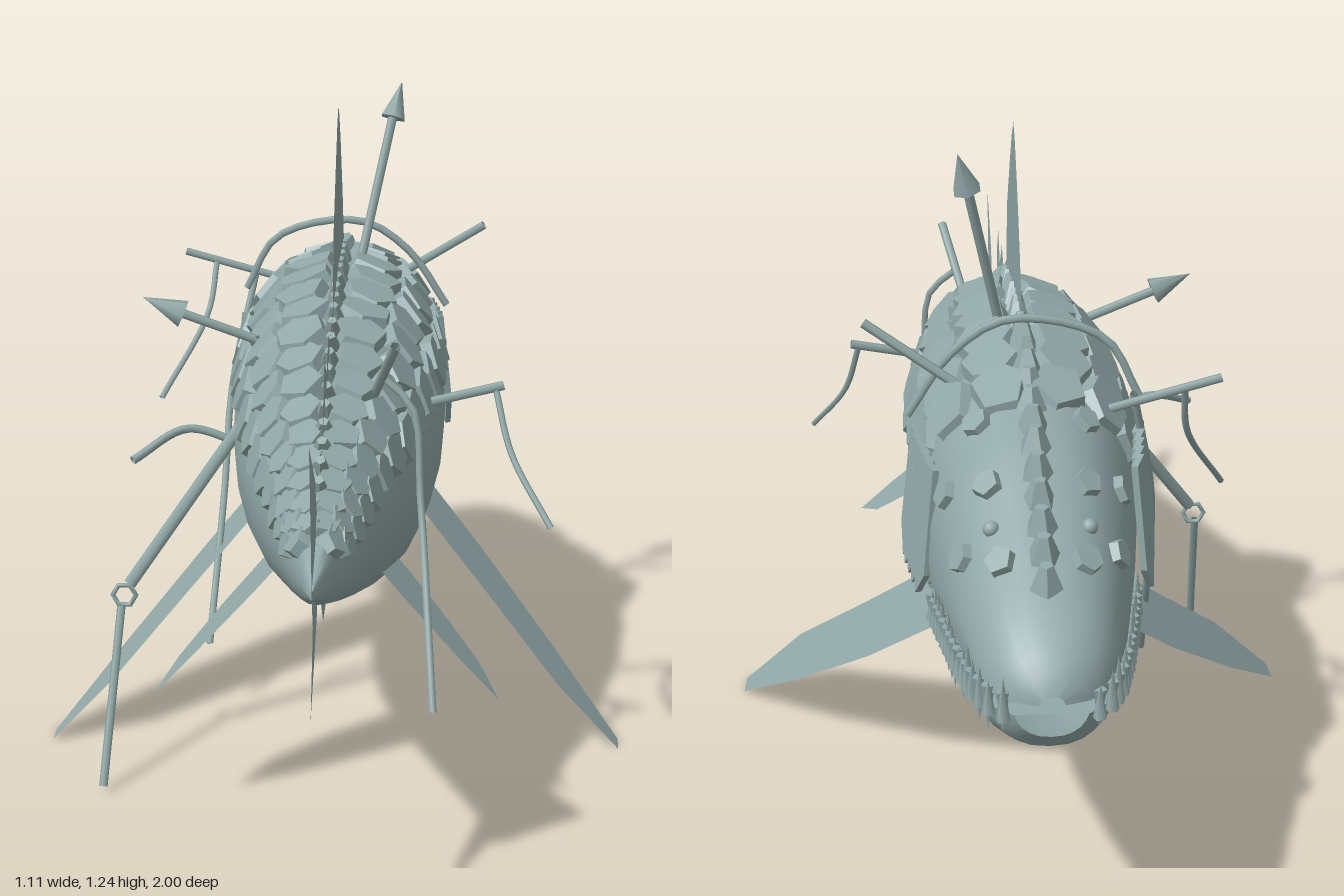
import * as THREE from 'three';
import { toCreasedNormals } from 'three/addons/utils/BufferGeometryUtils.js';

// Body stations: z, top y, bottom y, half width
const STATIONS = [
  [-1, 0.545, 0.515, 0.02], [-0.985, 0.58, 0.47, 0.06], [-0.95, 0.61, 0.435, 0.092], [-0.9, 0.645, 0.415, 0.115],
  [-0.8, 0.7, 0.385, 0.138], [-0.6, 0.805, 0.34, 0.172], [-0.4, 0.87, 0.31, 0.198], [-0.2, 0.895, 0.297, 0.21],
  [0, 0.885, 0.305, 0.206], [0.2, 0.855, 0.335, 0.185], [0.4, 0.795, 0.39, 0.145], [0.6, 0.725, 0.455, 0.092],
  [0.8, 0.655, 0.525, 0.042], [0.94, 0.6, 0.585, 0.004],
];
const V = (x, y, z) => new THREE.Vector3(x, y, z);

function station(z) {
  let i = 0;
  while (i < STATIONS.length - 2 && z > STATIONS[i + 1][0]) i++;
  const a = STATIONS[i], b = STATIONS[i + 1];
  const t = THREE.MathUtils.clamp((z - a[0]) / (b[0] - a[0]), 0, 1);
  return a.map((v, k) => v + (b[k] - v) * t);
}

// Point on the hide; angle 0 is the back, growing towards +x
function hide(z, angle) {
  const [, top, bottom, w] = station(z);
  const s = Math.sin(angle);
  return V(Math.sign(s) * Math.abs(s) ** 0.84 * w, (top + bottom) / 2 + Math.cos(angle) * (top - bottom) / 2, z);
}

// Frame lying on the hide: Y outwards, Z along the body
function hideFrame(z, angle) {
  const along = hide(z + 0.02, angle).sub(hide(z - 0.02, angle)).normalize();
  const around = hide(z, angle + 0.05).sub(hide(z, angle - 0.05)).normalize();
  const out = along.clone().cross(around).normalize();
  return new THREE.Matrix4().makeBasis(out.clone().cross(along), out, along).setPosition(hide(z, angle));
}

// Skin over rings along z, with a rule that adjusts each point
function loft(zs, rule) {
  const sides = 24, pos = [], idx = [];
  zs.forEach((z, i) => {
    for (let j = 0; j <= sides; j++) pos.push(...rule(hide(z, (j / sides) * Math.PI * 2)).toArray());
    if (i === 0) return;
    for (let j = 0; j < sides; j++) {
      const a = (i - 1) * (sides + 1) + j, b = a + sides + 1;
      idx.push(a, b, a + 1, b, b + 1, a + 1);
    }
  });
  const g = new THREE.BufferGeometry();
  g.setAttribute('position', new THREE.Float32BufferAttribute(pos, 3));
  g.setIndex(idx);
  return toCreasedNormals(g, 0.75);
}

export function createModel() {
  const root = new THREE.Group();
  const skin = new THREE.MeshStandardMaterial({ color: 0x92a8a8 });
  skin.name = 'grey green';
  skin.side = THREE.DoubleSide;
  let seed = 7;
  const rnd = () => (seed = (seed * 16807) % 2147483647) / 2147483647;
  const add = (name, geo, parent = root) => {
    const m = new THREE.Mesh(geo, skin);
    m.name = name;
    parent.add(m);
    return m;
  };
  const group = (name) => {
    const g = new THREE.Group();
    g.name = name;
    root.add(g);
    return g;
  };
  const range = (a, b, n) => Array.from({ length: n + 1 }, (_, i) => a + ((b - a) * i) / n);

  // Body with an open mouth, and the lower jaw
  const noseZs = [-1, -0.985, -0.965, -0.95, -0.925];
  const bodyZs = [...noseZs, ...range(-0.9, -0.52, 8), ...range(-0.5, 0.94, 30)];
  add('body', loft(bodyZs, (p) => (p.z < -0.51 ? p.setY(Math.max(p.y, 0.53)) : p)));
  add('lowerJaw', loft([-0.985, ...noseZs.slice(2), ...range(-0.9, -0.46, 9)],
    (p) => p.set(p.x * 1.012, Math.min(p.y - 0.002, 0.508), p.z)));

  // Flat fins: outline in (z, y), x from a rule on y
  const fin = (name, pts, xOf) => {
    const g = new THREE.ShapeGeometry(new THREE.Shape(pts.map(([z, y]) => new THREE.Vector2(z, y))));
    const p = g.attributes.position;
    for (let i = 0; i < p.count; i++) p.setXYZ(i, xOf(p.getY(i)), p.getY(i), p.getX(i));
    g.computeVertexNormals();
    add(name, g);
  };
  const mid = () => 0;
  fin('dorsalFin', [[0.25, 0.8], [0.235, 0.88], [0.2, 1.02], [0.11, 1.125], [0.05, 1.19], [0, 1.225], [-0.04, 1.205],
    [-0.1, 1.145], [-0.19, 1.03], [-0.25, 0.93], [-0.27, 0.85]], mid);
  fin('rearRidge', [[0.66, 0.68], [0.6, 0.75], [0.57, 0.83], [0.53, 0.875], [0.47, 0.82], [0.395, 0.878], [0.33, 0.85],
    [0.25, 0.885], [0.2, 0.8]], mid);
  fin('tailFin', [[1, 0.85], [0.84, 0.75], [0.76, 0.64], [0.77, 0.54], [0.79, 0.51], [0.985, 0.4], [0.915, 0.53],
    [0.945, 0.59], [0.96, 0.68]], mid);
  fin('analFin', [[0.42, 0.44], [0.52, 0.42], [0.6, 0.42], [0.68, 0.49], [0.5, 0.5]], mid);
  for (const s of [1, -1]) {
    const splay = (y) => s * (0.12 + (0.43 - y) * 1.012);
    fin('pectoralFin', [[-0.42, 0.42], [-0.395, 0.385], [-0.26, 0.26], [-0.07, 0.12], [0.12, 0], [0.175, 0.003],
      [0.14, 0.12], [0, 0.25], [-0.14, 0.39], [-0.18, 0.43]], splay);
    fin('pelvicFin', [[0.28, 0.46], [0.285, 0.42], [0.34, 0.35], [0.42, 0.28], [0.515, 0.245], [0.5, 0.31],
      [0.455, 0.42], [0.43, 0.46]], splay);
  }

  // Overlapping armour plates over the back
  const armour = group('armourPlates');
  const plate = (z, angle, r, long) => {
    const g = new THREE.CylinderGeometry(r * 0.86, r, 0.028, 5 + Math.floor(rnd() * 2));
    g.rotateY(rnd() * 6).scale(0.95, 1, long).rotateX(-0.09 + rnd() * 0.05);
    add('plate', toCreasedNormals(g, 0.4), armour).applyMatrix4(hideFrame(z, angle));
  };
  for (const s of [1, -1]) {
    [0.24, 0.66, 1.06].forEach((angle, row) => {
      let z = -0.44 + row * 0.035;
      while (z < 0.82) {
        const r = 0.022 + 0.2 * station(z)[3];
        plate(z, s * (angle + (rnd() - 0.5) * 0.08), r, 1.05 + rnd() * 0.2);
        z += r * 1.55;
      }
    });
    // Small loose plates on the cheek and brow
    for (let i = 0; i < 5; i++) plate(-0.5 - i * 0.075, s * (0.45 + (i % 2) * 0.5), 0.03, 1);
  }

  // Knobbly ridge along the head and spine
  const ridge = group('spineRidge');
  for (let z = -0.85; z < 0.75; z += 0.052) {
    const k = z < -0.25 ? 1 : 0.75;
    const g = new THREE.CylinderGeometry(0.012 * k, 0.03 * k, 0.045, 5);
    g.rotateY(rnd() * 6).rotateX(0.35).translate(0, 0.012, 0);
    add('knob', toCreasedNormals(g, 0.4), ridge).applyMatrix4(hideFrame(z, 0));
  }

  // Eyes, gill flaps and teeth
  const gillShape = new THREE.Shape([[-0.02, 0.11], [0.022, 0.12], [0.03, -0.06], [0.012, -0.12], [-0.018, -0.08]]
    .map(([x, y]) => new THREE.Vector2(x, y)));
  const teeth = group('teeth');
  for (const s of [1, -1]) {
    add('eye', new THREE.SphereGeometry(0.014, 12, 8)).position.copy(hide(-0.73, s * 0.5));
    for (let i = 0; i < 5; i++) {
      const z = -0.355 - i * 0.042;
      const g = new THREE.ExtrudeGeometry(gillShape, { depth: 0.012, bevelEnabled: false }).rotateY(-Math.PI / 2);
      const gill = add('gillFlap', g);
      gill.position.set(s * (station(z)[3] + 0.006), 0.63, z);
      gill.rotation.set(0.05, s * 0.4, s * 0.1);
    }
    for (let i = 0; i < 15; i++) {
      const z = -0.6 - i * 0.0265, w = station(z)[3];
      for (const up of [1, -1]) {
        const h = 0.05 + rnd() * 0.035;
        const g = new THREE.ConeGeometry(0.012, h, 5);
        if (up < 0) g.rotateX(Math.PI);
        const zz = z - (up > 0 ? 0.012 : 0);
        add('tooth', g, teeth).position.set(s * (w + 0.003), 0.52 + up * (h / 2 - 0.022), Math.max(zz, -0.985));
      }
    }
  }

  // Harpoon rods, heads and ropes stuck in the hide
  const gear = group('harpoons');
  const tube = (name, pts, r) => add(name, new THREE.TubeGeometry(
    new THREE.CatmullRomCurve3(pts.map((p) => V(...p))), pts.length > 2 ? 16 : 1, r, 6), gear);
  const head = (at, tip) => {
    const a = V(...at), d = V(...tip).sub(a);
    const m = add('harpoonHead', new THREE.ConeGeometry(0.027, d.length(), 6), gear);
    m.position.copy(a).addScaledVector(d, 0.5);
    m.quaternion.setFromUnitVectors(V(0, 1, 0), d.normalize());
  };
  tube('harpoonRod', [[0.03, 0.86, -0.18], [0.1, 1.18, -0.275]], 0.009);
  head([0.098, 1.165, -0.272], [0.115, 1.235, -0.295]);
  tube('harpoonRod', [[0.1, 0.82, -0.36], [0.285, 0.94, -0.32]], 0.009);
  tube('harpoonRod', [[-0.12, 0.79, 0.12], [-0.3, 0.858, 0.135]], 0.009);
  head([-0.285, 0.852, 0.135], [-0.36, 0.885, 0.14]);
  tube('harpoonRod', [[-0.12, 0.8, -0.42], [-0.34, 0.86, -0.42]], 0.008);
  tube('rope', [[-0.275, 0.84, -0.42], [-0.29, 0.74, -0.36], [-0.375, 0.59, -0.23]], 0.006);
  tube('rope', [[-0.19, 0.82, -0.38], [-0.235, 0.6, -0.3], [-0.245, 0.4, -0.2], [-0.26, 0.14, 0]], 0.007);
  tube('harpoonRod', [[0.15, 0.7, 0.21], [0.315, 0.735, 0.19]], 0.009);
  tube('rope', [[0.3, 0.73, 0.19], [0.33, 0.62, 0.25], [0.4, 0.51, 0.345]], 0.006);
  tube('harpoonRod', [[0.08, 0.77, 0.4], [0.12, 0.89, 0.53]], 0.009);
  tube('rope', [[0.1, 0.81, 0.44], [0.15, 0.76, 0.455], [0.165, 0.6, 0.48], [0.19, 0.27, 0.635]], 0.007);
  tube('rope', [[-0.18, 0.6, 0.13], [-0.28, 0.63, 0.14], [-0.375, 0.59, 0.22]], 0.008);

  // Jointed harpoon with its ring
  tube('harpoonRod', [[-0.16, 0.66, 0.11], [-0.385, 0.35, 0.235]], 0.013);
  tube('harpoonRod', [[-0.4, 0.31, 0.25], [-0.42, 0.012, 0.405]], 0.008);
  add('ring', new THREE.TorusGeometry(0.022, 0.005, 6, 6), gear).position.set(-0.395, 0.33, 0.24);

  // Rope slung over the back
  tube('rope', [[-0.205, 0.8, -0.34], [-0.14, 0.91, -0.335], [0.03, 0.945, -0.33], [0.13, 0.885, -0.33],
    [0.21, 0.77, -0.33]], 0.008);
  return root;
}
